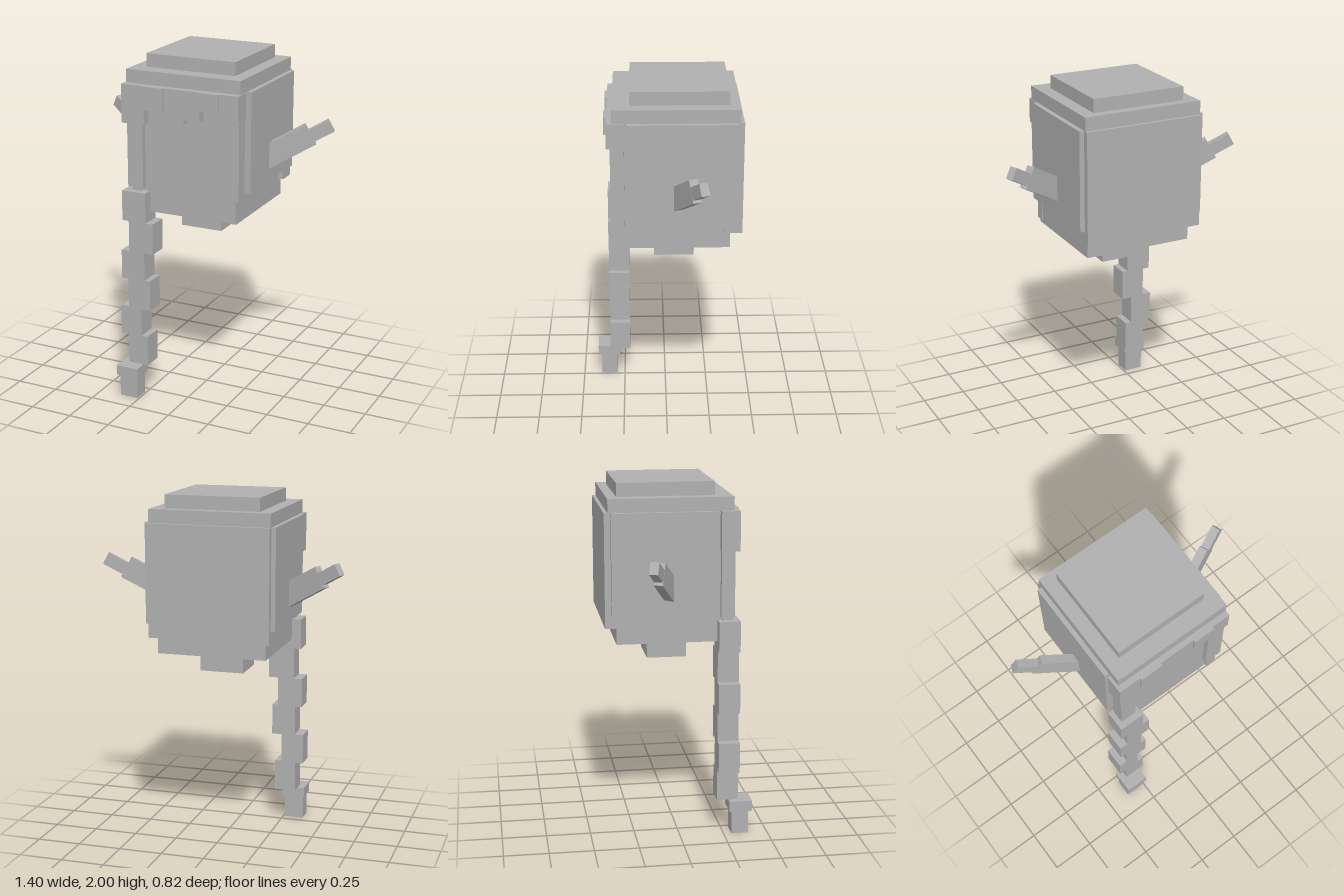
import * as THREE from 'three';

export function createModel() {
  const model = new THREE.Group();
  const grey = new THREE.MeshStandardMaterial({ color: 0xb0b0b0 });
  grey.name = 'grey';

  // Box given by its lower and upper limits on each axis
  function block(name, x0, x1, y0, y1, z0, z1) {
    const mesh = new THREE.Mesh(new THREE.BoxGeometry(x1 - x0, y1 - y0, z1 - z0), grey);
    mesh.position.set((x0 + x1) / 2, (y0 + y1) / 2, (z0 + z1) / 2);
    mesh.name = name;
    model.add(mesh);
    return mesh;
  }

  // Head and neck
  block('head', -0.31, 0.31, 1.12, 1.85, -0.345, 0.275);
  block('neck', -0.125, 0.125, 0.99, 1.12, -0.155, 0.07);

  // Hair cap: two stacked slabs, a back panel and two side panels
  block('hairCrown', -0.27, 0.265, 1.925, 2.0, -0.335, 0.2);
  block('hairTop', -0.345, 0.34, 1.85, 1.925, -0.39, 0.295);
  block('hairBack', -0.345, 0.34, 1.22, 1.85, -0.41, -0.31);
  block('hairSideRight', -0.37, -0.3, 1.29, 1.85, -0.375, 0.215);
  block('hairSideLeft', 0.3, 0.367, 1.29, 1.85, -0.375, 0.215);

  // Locks framing the face
  block('lockRight', -0.34, -0.245, 1.26, 1.81, 0.23, 0.305);
  block('lockLeft', 0.235, 0.338, 1.26, 1.81, 0.23, 0.305);
  block('lockTipRight', -0.32, -0.265, 1.14, 1.26, 0.24, 0.295);
  block('lockTipLeft', 0.26, 0.315, 1.14, 1.26, 0.24, 0.295);

  // Fringe: x from, x to, bottom, front
  [
    [-0.36, -0.222, 1.63, 0.328],
    [-0.232, -0.1, 1.715, 0.34],
    [-0.11, 0.02, 1.66, 0.325],
    [0.02, 0.115, 1.685, 0.325],
    [0.108, 0.23, 1.75, 0.34],
    [0.23, 0.34, 1.71, 0.325],
  ].forEach(([x0, x1, bottom, front]) => block('fringe', x0, x1, bottom, 1.848, 0.225, front));

  // Zigzag braid, from the top down: x from, x to, bottom, top
  [
    [-0.365, -0.218, 1.065, 1.24],
    [-0.325, -0.175, 0.885, 1.065],
    [-0.375, -0.23, 0.715, 0.885],
    [-0.335, -0.197, 0.54, 0.72],
    [-0.385, -0.255, 0.37, 0.545],
    [-0.34, -0.217, 0.195, 0.375],
  ].forEach(([x0, x1, y0, y1]) => block('braidSegment', x0, x1, y0, y1, 0.215, 0.335));
  block('braidTie', -0.38, -0.247, 0.135, 0.195, 0.28, 0.41);
  block('braidEnd', -0.37, -0.26, 0, 0.135, 0.295, 0.39);

  // Long ears, swept up and back, mirrored
  for (const side of [1, -1]) {
    const ear = new THREE.Group();
    ear.name = side > 0 ? 'earLeft' : 'earRight';
    const blade = new THREE.Mesh(new THREE.BoxGeometry(0.3, 0.126, 0.05), grey);
    blade.name = 'earBlade';
    blade.position.x = -side * 0.15;
    const tip = new THREE.Mesh(new THREE.BoxGeometry(0.13, 0.07, 0.048), grey);
    tip.name = 'earTip';
    tip.position.set(side * 0.06, -0.01, 0);
    ear.add(blade, tip);
    ear.position.set(side * 0.567, 1.56, -0.143);
    ear.rotation.set(0, side * 0.38, side * 0.51, 'YXZ');
    model.add(ear);
  }
  return model;
}
